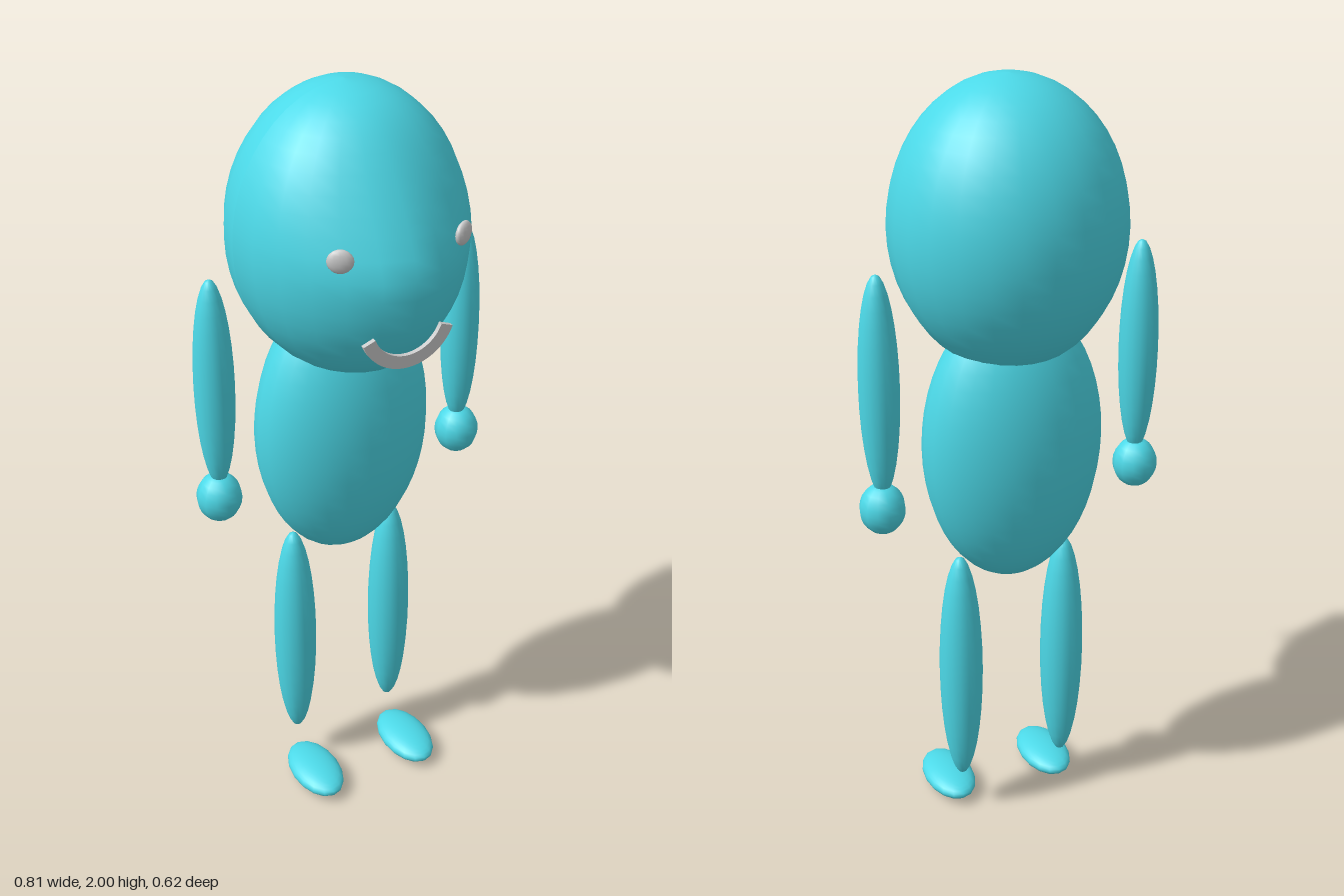
import * as THREE from 'three';

const skin = new THREE.MeshStandardMaterial({ color: 0x4cd9e8 });
const grey = new THREE.MeshStandardMaterial({ color: 0xcccccc });

// Ellipsoid with given centre and radii
function ellipsoid(name, center, radii, material = skin, w = 16, h = 16) {
  const mesh = new THREE.Mesh(new THREE.SphereGeometry(1, w, h), material);
  mesh.name = name;
  mesh.position.set(...center);
  mesh.scale.set(...radii);
  return mesh;
}

// Egg-shaped head: shorter at the back, longer at the front, with a sloping brow
function makeHead() {
  const geo = new THREE.SphereGeometry(1, 24, 24);
  const p = geo.attributes.position;
  for (let i = 0; i < p.count; i++) {
    const x = p.getX(i), y = p.getY(i), z = p.getZ(i);
    let d = 0.27 * z;
    if (z > 0) d = 0.35 * z * (1 - 0.35 * Math.max(y, 0) * z - 0.15 * Math.abs(x) * z);
    p.setXYZ(i, 0.29 * x, 0.357 * y, d);
  }
  geo.computeVertexNormals();
  const head = new THREE.Mesh(geo, skin);
  head.name = 'head';
  head.position.set(0, 1.643, -0.04);
  return head;
}

// Smile: a thin arc-shaped band
function makeMouth() {
  const a = Math.PI + 0.36, b = 2 * Math.PI - 0.36;
  const shape = new THREE.Shape();
  shape.absarc(0, 0, 0.124, a, b, false);
  shape.absarc(0, 0, 0.092, b, a, true);
  shape.closePath();
  const geo = new THREE.ExtrudeGeometry(shape, { depth: 0.012, bevelEnabled: false, curveSegments: 16 });
  const mouth = new THREE.Mesh(geo, grey);
  mouth.name = 'mouth';
  mouth.position.set(0, 1.535, 0.26);
  return mouth;
}

export function createModel() {
  const model = new THREE.Group();
  model.name = 'figure';
  model.add(makeHead(), makeMouth());
  model.add(ellipsoid('body', [0, 1.09, -0.06], [0.235, 0.375, 0.158], skin, 24, 24));

  // Paired parts, mirrored across x
  for (const [side, s] of [['left', 1], ['right', -1]]) {
    model.add(
      ellipsoid(side + 'Arm', [s * 0.345, 1.285, -0.06], [0.05, 0.285, 0.05]),
      ellipsoid(side + 'Hand', [s * 0.347, 0.965, -0.06], [0.058, 0.066, 0.058], skin, 12, 12),
      ellipsoid(side + 'Leg', [s * 0.145, 0.45, -0.06], [0.057, 0.335, 0.057]),
      ellipsoid(side + 'Foot', [s * 0.145, 0.034, 0.05], [0.067, 0.032, 0.115])
    );
    const eye = ellipsoid(side + 'Eye', [s * 0.157, 1.7, 0.238], [0.031, 0.029, 0.013], grey, 12, 10);
    eye.rotation.y = s * 0.5;
    model.add(eye);
  }
  return model;
}
